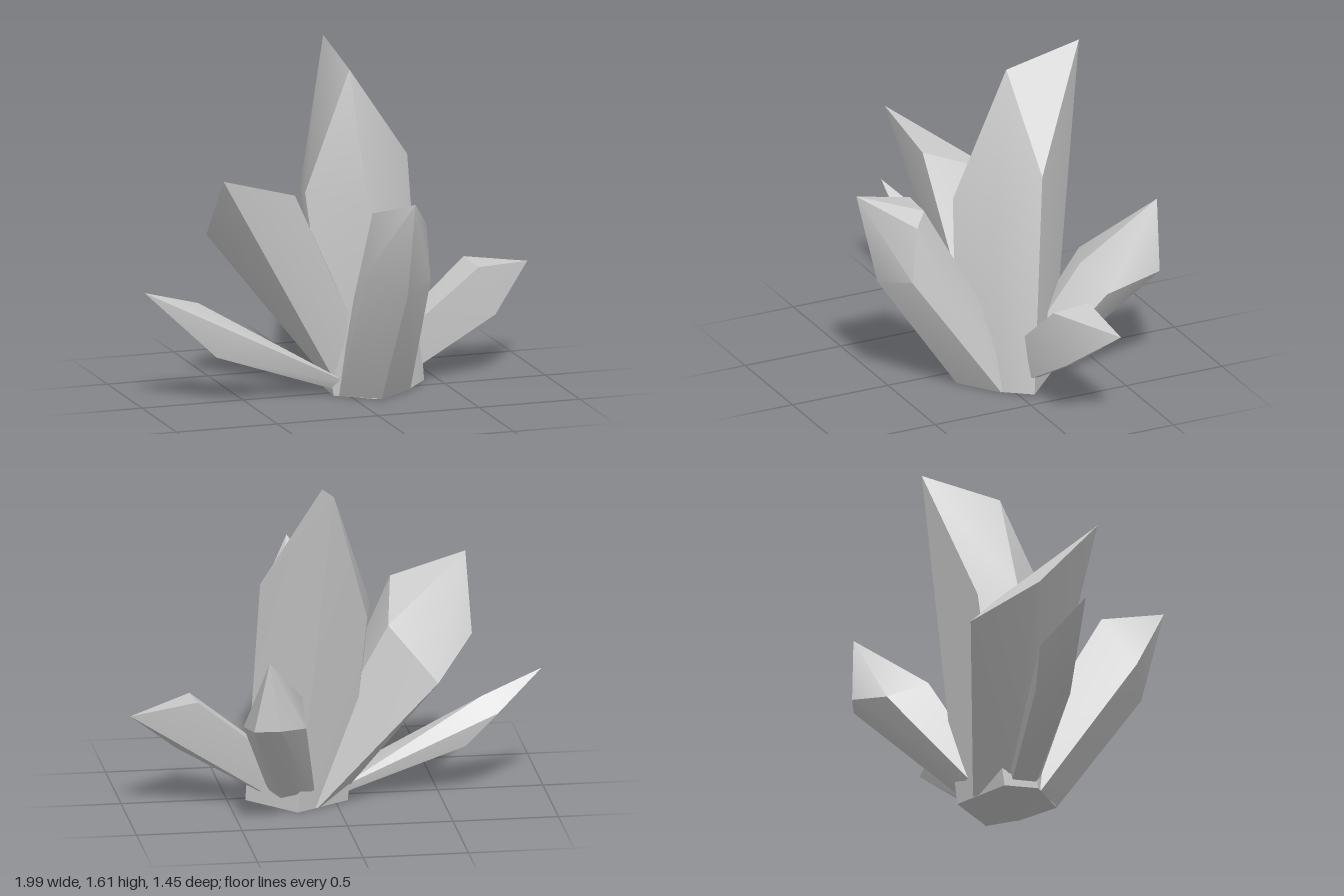
import * as THREE from 'three';
import { ConvexGeometry } from 'three/addons/geometries/ConvexGeometry.js';
import { toCreasedNormals } from 'three/addons/utils/BufferGeometryUtils.js';

const material = new THREE.MeshStandardMaterial({ color: 0xcccccc });

// A crystal is a prism: a foot ring, a shoulder ring and the points of its tip.
function crystal(name, tip, shoulder, foot) {
  const points = [...tip, ...shoulder, ...foot].map((p) => new THREE.Vector3(...p));
  const mesh = new THREE.Mesh(toCreasedNormals(new ConvexGeometry(points), 0.6), material);
  mesh.name = name;
  return mesh;
}

export function createModel() {
  const group = new THREE.Group();
  group.name = 'crystalCluster';

  // Tall central crystal with a slanted ridge at the top
  group.add(crystal('mainCrystal',
    [[0.06, 1.61, -0.47], [0.06, 1.53, -0.09]],
    [[0.36, 1.09, -0.13], [0.27, 0.87, 0.06], [0.06, 0.92, 0.19], [-0.17, 0.96, -0.06], [-0.13, 0.94, -0.25]],
    [[0.2, 0, -0.26], [0.42, 0.01, -0.06], [0.31, 0, 0.05], [0.1, 0, 0.19], [-0.07, 0, 0.06], [-0.06, 0, -0.1]]));

  // Crystal leaning forward
  group.add(crystal('frontCrystal',
    [[0.11, 1.06, 0.72]],
    [[-0.07, 0.7, 0.54], [0.11, 0.6, 0.61], [0.26, 0.63, 0.5], [0.25, 0.9, 0.47], [0.18, 0.95, 0.4], [0.01, 0.95, 0.39]],
    [[-0.05, 0, 0.08], [0.12, 0, 0.2], [0.31, 0, 0.06], [0.28, 0.03, -0.02], [0.2, 0.05, -0.1], [0, 0.05, -0.1]]));

  // Wide five-sided crystal cut off at a slant
  group.add(crystal('wideSideCrystal',
    [[-0.66, 1.11, 0.19]],
    [[-0.3, 1.01, 0.17], [-0.24, 0.875, -0.18], [-0.45, 0.64, -0.37], [-0.65, 0.79, -0.09]],
    [[-0.04, 0.03, 0.05], [0.15, 0.05, 0.08], [0.2, 0.05, -0.1], [0.1, 0, -0.21], [-0.04, 0.02, -0.06]]));

  // Low slender crystal beneath the wide one
  group.add(crystal('lowRightCrystal',
    [[-1, 0.565, 0.04]],
    [[-0.7, 0.47, -0.06], [-0.53, 0.33, 0.08], [-0.65, 0.23, 0.06], [-0.62, 0.24, -0.1], [-0.77, 0.4, -0.12]],
    [[-0.02, 0.06, 0], [0, 0.06, 0.08], [-0.04, 0.02, 0.05], [-0.03, 0.02, -0.06], [-0.02, 0.05, -0.07]]));

  // Low wedge-shaped crystal on the opposite side
  group.add(crystal('lowLeftCrystal',
    [[0.99, 0.5, -0.23]],
    [[0.67, 0.55, -0.22], [0.68, 0.54, -0.03], [0.77, 0.3, -0.05], [0.76, 0.3, -0.11]],
    [[0.1, 0.08, -0.13], [0.1, 0.08, -0.03], [0.25, 0, -0.05], [0.25, 0, -0.11]]));

  // Crystal leaning backward
  group.add(crystal('backCrystal',
    [[0.4, 0.88, -0.71]],
    [[0.35, 0.55, -0.73], [0.47, 0.54, -0.69], [0.48, 0.48, -0.41], [0.36, 0.61, -0.33], [0.2, 0.61, -0.4], [0.21, 0.52, -0.6]],
    [[0.17, 0, -0.17], [0.25, 0, -0.14], [0.3, 0.02, -0.08], [0.22, 0.06, -0.02], [0.1, 0.06, -0.08], [0.1, 0.02, -0.16]]));

  return group;
}
